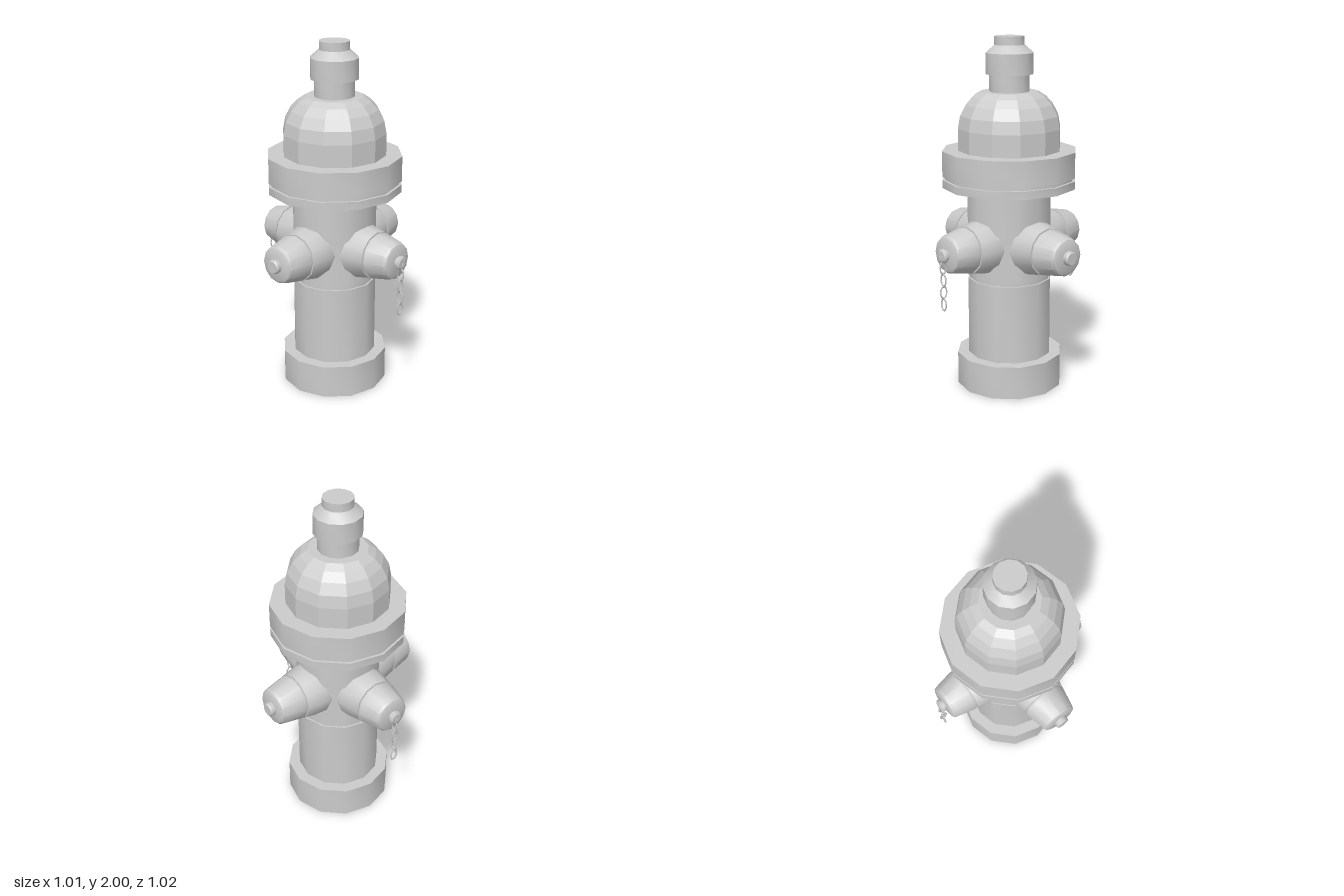
import * as THREE from 'three';
import { toCreasedNormals } from 'three/addons/utils/BufferGeometryUtils.js';

// Open turned shells show from both sides
const material = new THREE.MeshStandardMaterial({ color: 0xcccccc, side: THREE.DoubleSide });

// Twelve-sided turned part; profile is [radius, height] pairs from bottom to top
function turned(name, profile, crease = 0.55) {
  const points = profile.map(([r, y]) => new THREE.Vector2(r, y));
  const geometry = toCreasedNormals(new THREE.LatheGeometry(points, 12), crease);
  const mesh = new THREE.Mesh(geometry, material);
  mesh.name = name;
  return mesh;
}

// Oval chain link standing upright, in the xy plane or turned into the yz plane
function chainLink(y, width, height, turn) {
  const geometry = new THREE.TorusGeometry(width / 2 - 0.004, 0.004, 6, 14);
  geometry.scale(1, height / width, 1);
  const mesh = new THREE.Mesh(geometry, material);
  mesh.name = 'chainLink';
  mesh.rotation.y = turn ? Math.PI / 2 : 0;
  mesh.position.y = y;
  return mesh;
}

// Hanging chain: a small eye on the cap nut, then four alternating links
function chain() {
  const group = new THREE.Group();
  group.name = 'chain';
  group.add(chainLink(-0.014, 0.04, 0.044, true));
  for (let i = 0; i < 4; i++) {
    group.add(chainLink(-0.067 - i * 0.07, 0.05, 0.08, i % 2 === 0));
  }
  return group;
}

// Tapered outlet with a groove, a capped end and a nut, pointing along +z
function outlet(name, withChain) {
  const group = new THREE.Group();
  group.name = name;
  const end = withChain ? 0.468 : 0.477;
  const barrel = turned('outletBarrel', [
    [0.157, 0.16], [0.152, 0.235], [0.134, 0.32], [0.125, 0.32], [0.125, 0.333],
    [0.132, 0.333], [0.108, end - 0.024], [0.1, end - 0.008], [0.084, end], [0, end],
  ]);
  const nut = turned('outletNut', withChain
    ? [[0.032, 0.46], [0.032, 0.48], [0.04, 0.48], [0.04, 0.49], [0.028, 0.499], [0, 0.499]]
    : [[0.04, 0.46], [0.04, 0.498], [0.034, 0.506], [0, 0.506]]);
  for (const part of [barrel, nut]) {
    part.rotation.x = Math.PI / 2;
    group.add(part);
  }
  if (withChain) {
    const links = chain();
    links.position.z = 0.486;
    group.add(links);
  }
  return group;
}

export function createModel() {
  const hydrant = new THREE.Group();
  hydrant.name = 'hydrant';
  const body = new THREE.Group();
  body.name = 'body';
  body.position.z = 0.008;
  hydrant.add(body);

  // Hollow foot ring, open underneath
  body.add(turned('base', [
    [0.24, 0.185], [0.3, 0.185], [0.3, 0], [0.305, 0], [0.305, 0.19], [0.235, 0.19],
  ]));

  // Barrel with a groove below the outlets
  body.add(turned('barrel', [
    [0.24, 0.186], [0.24, 0.64], [0.23, 0.64], [0.23, 0.657], [0.24, 0.657], [0.24, 1.18],
  ]));

  // Double flange
  body.add(turned('flange', [
    [0.235, 1.17], [0.38, 1.17], [0.38, 1.215], [0.365, 1.215], [0.365, 1.233],
    [0.38, 1.233], [0.38, 1.377], [0.27, 1.377],
  ]));

  // Domed bonnet with visible facets
  body.add(turned('bonnet', [
    [0.29, 1.37], [0.29, 1.5], [0.277, 1.57], [0.245, 1.63], [0.205, 1.673],
    [0.163, 1.7], [0.1, 1.7],
  ], 0.1));

  // Neck, bevelled cap and operating nut
  body.add(turned('topCap', [
    [0.113, 1.69], [0.113, 1.795], [0.134, 1.795], [0.134, 1.91],
    [0.085, 1.953], [0.085, 2], [0, 2],
  ]));

  // Four outlets; the front and back ones carry chains
  ['frontOutlet', 'leftOutlet', 'backOutlet', 'rightOutlet'].forEach((name, i) => {
    const withChain = i % 2 === 0;
    const part = outlet(name, withChain);
    part.rotation.y = i * Math.PI / 2;
    part.position.set(0, 0.847, withChain ? 0.001 : 0.008);
    hydrant.add(part);
  });

  return hydrant;
}
